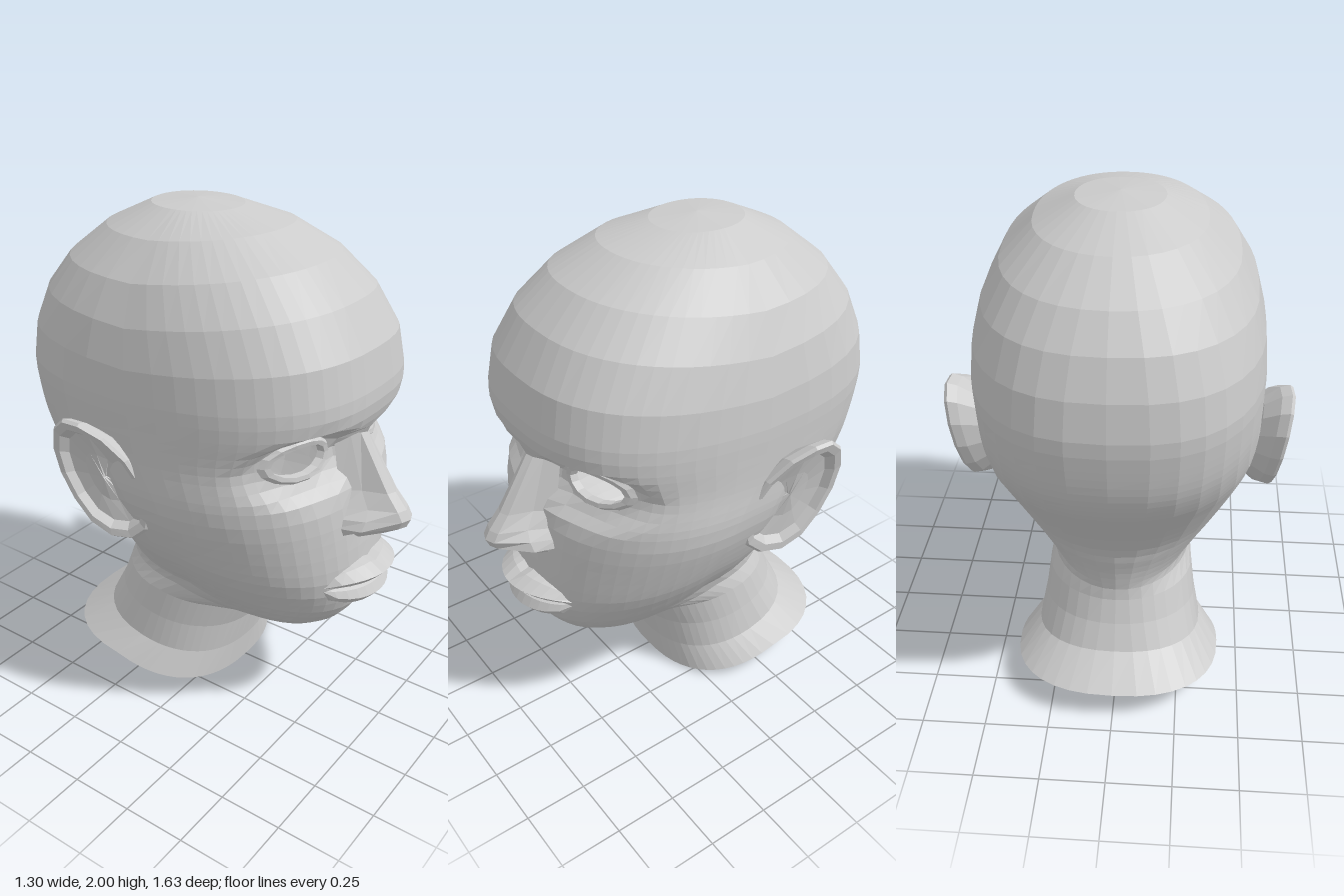
import * as THREE from 'three';

const material = new THREE.MeshStandardMaterial({ color: 0xcccccc, flatShading: true, side: THREE.DoubleSide });
const V = (x, y, z) => new THREE.Vector3(x, y, z);

// Skins a grid of points (rows run top to bottom, columns left to right); skip leaves holes
function skin(name, rows, closed = false, skip = () => false) {
  const pos = [];
  const n = rows[0].length;
  const tri = new THREE.Triangle();
  const add = (a, b, c) => {
    tri.set(a, b, c);
    if (tri.getArea() > 1e-7) for (const p of [a, b, c]) pos.push(p.x, p.y, p.z);
  };
  for (let j = 0; j < rows.length - 1; j++) {
    for (let i = 0; i < (closed ? n : n - 1); i++) {
      const k = (i + 1) % n;
      const a = rows[j][i], b = rows[j][k], c = rows[j + 1][k], d = rows[j + 1][i];
      if (skip(a, b, c, d)) continue;
      add(a, d, b);
      add(b, d, c);
    }
  }
  const geo = new THREE.BufferGeometry();
  geo.setAttribute('position', new THREE.Float32BufferAttribute(pos, 3));
  geo.computeVertexNormals();
  const mesh = new THREE.Mesh(geo, material);
  mesh.name = name;
  return mesh;
}

// Tilted rings from crown to neck: front y, z | half width, side y | back y, z
const RINGS = [
  [2.0, -0.15, 0, 2.0, 2.0, -0.15],
  [1.985, 0.03, 0.16, 1.985, 1.985, -0.33],
  [1.94, 0.23, 0.31, 1.905, 1.9, -0.51],
  [1.85, 0.41, 0.43, 1.78, 1.78, -0.66],
  [1.73, 0.54, 0.5, 1.64, 1.66, -0.745],
  [1.58, 0.63, 0.535, 1.5, 1.52, -0.795],
  [1.44, 0.655, 0.545, 1.38, 1.38, -0.812],
  [1.34, 0.65, 0.545, 1.28, 1.26, -0.8],
  [1.2, 0.6, 0.545, 1.15, 1.12, -0.77],
  [1.05, 0.61, 0.55, 1.02, 1.0, -0.71],
  [0.92, 0.63, 0.53, 0.91, 0.9, -0.64],
  [0.68, 0.65, 0.465, 0.75, 0.72, -0.525],
  [0.56, 0.63, 0.405, 0.65, 0.64, -0.5],
  [0.47, 0.585, 0.355, 0.58, 0.57, -0.48],
  [0.385, 0.49, 0.305, 0.52, 0.51, -0.47],
  [0.375, 0.33, 0.285, 0.47, 0.48, -0.465],
  [0.36, 0.16, 0.295, 0.41, 0.43, -0.47],
  [0.12, 0.09, 0.335, 0.17, 0.23, -0.55],
  [0, 0.08, 0.415, 0.09, 0.13, -0.69],
];
const LAST = RINGS.length - 1;

// Smooth interpolation between rings
function ringAt(t) {
  const k = Math.min(Math.floor(t), LAST - 1), f = t - k;
  const at = (i) => RINGS[THREE.MathUtils.clamp(i, 0, LAST)];
  return RINGS[k].map((p1, c) => {
    const p0 = at(k - 1)[c], p2 = at(k + 1)[c], p3 = at(k + 2)[c];
    return p1 + 0.5 * f * (p2 - p0 + f * (2 * p0 - 5 * p1 + 4 * p2 - p3 + f * (3 * (p1 - p2) + p3 - p0)));
  });
}

// Rows between one ring and the next: finer over the face
function rowsAfter(k) {
  if (k === 7 || k === 8 || k === 10) return 4;
  return k === 16 || (k >= 6 && k <= 13) ? 2 : 1;
}

// Eye socket: an ellipse in front view, lying on a curved sheet
const EYE = { x: 0.26, y: 1.2, w: 0.145, h: 0.085 };
const eyeSheet = (x) => 0.515 - 1.9 * Math.max(0, Math.abs(x) - 0.16) ** 2;

// Pulls face points back into the sockets, sharply under the brow and softly over the cheek
function carveEye(p) {
  if (p.z < 0.2) return p;
  const side = p.x < 0 ? -1 : 1;
  const dx = p.x * side - EYE.x, dy = p.y - EYE.y;
  const d = Math.hypot(dx / EYE.w, dy / EYE.h);
  if (d < 1) {
    const s = 1 / Math.max(d, 1e-4);
    p.x = side * (EYE.x + dx * s);
    p.y = EYE.y + dy * s;
    p.inSocket = true;
  }
  const pull = 1 - THREE.MathUtils.smoothstep(d, 0.95, dy > 0 ? 1.7 : 2.1);
  p.z = THREE.MathUtils.lerp(p.z, Math.min(p.z, eyeSheet(p.x)), pull);
  return p;
}

// Each ring is a superellipse whose front and back halves tilt separately
function buildHead() {
  const half = [];
  for (let i = 0; i < 14; i++) half.push((i / 14) * Math.PI / 2);
  for (let i = 0; i < 9; i++) half.push(Math.PI / 2 * (1 + i / 9));
  const angles = [...half, Math.PI, ...half.slice(1).reverse().map((a) => 2 * Math.PI - a)];
  const rows = [];
  for (let k = 0; k <= LAST; k++) {
    const sub = rowsAfter(k);
    for (let s = 0; s < sub; s++) {
      const [yf, zf, w, ys, yb, zb] = ringAt(k + s / sub);
      const zs = (zf + zb) / 2 + 0.1 * Math.exp(-(((ys - 1) / 0.2) ** 2));
      const squareness = 0.6 * Math.exp(-(((ys - 1.35) / 0.45) ** 2)) + 0.5 * Math.exp(-((ys / 0.25) ** 2));
      const power = 2 / (2 + squareness);
      rows.push(angles.map((a) => {
        const sn = Math.sin(a), c = Math.cos(a);
        const u = Math.sign(sn) * Math.abs(sn) ** power, v = Math.abs(c) ** power;
        const [ye, ze] = c > 0 ? [yf, zf] : [yb, zb];
        return carveEye(V(w * u, ys + (ye - ys) * v, zs + (ze - zs) * v));
      }));
    }
  }
  return skin('headAndNeck', rows, true, (...quad) => quad.every((p) => p.inSocket));
}

// Lids: rings from the socket edge over a soft bulge to the almond opening, then turned inward
function buildEyelids() {
  const rings = [[0.152, 0.092, -0.005], [0.132, 0.075, 0.012], [0.112, 0.058, 0.008], [0.108, 0.054, -0.02]];
  return skin('eyelids', rings.map(([w, h, dz]) => Array.from({ length: 14 }, (_, i) => {
    const a = (i / 14) * Math.PI * 2;
    const x = EYE.x - w * Math.cos(a);
    return V(x, EYE.y + h * Math.sin(a), eyeSheet(x) + dz);
  })), true);
}

// Nose rows: y | base x, z | flank x, z | ridge x, z
function buildNose() {
  const rows = [
    [1.25, 0.085, 0.52, 0.05, 0.57, 0.025, 0.6],
    [1.04, 0.11, 0.57, 0.065, 0.64, 0.035, 0.73],
    [0.98, 0.13, 0.59, 0.085, 0.68, 0.04, 0.78],
    [0.945, 0.155, 0.59, 0.115, 0.69, 0.04, 0.8],
    [0.91, 0.165, 0.59, 0.135, 0.685, 0.035, 0.785],
    [0.87, 0.15, 0.6, 0.085, 0.67, 0.025, 0.725],
    [0.84, 0.1, 0.6, 0.06, 0.64, 0.015, 0.67],
  ];
  return skin('nose', rows.map(([y, bx, bz, mx, mz, rx, rz], j) => {
    const flankY = j === 5 ? y + 0.035 : y; // hollow of the nostrils
    return [V(-bx, y, bz), V(-mx, flankY, mz), V(-rx, y, rz), V(0, y, rz + 0.015),
      V(rx, y, rz), V(mx, flankY, mz), V(bx, y, bz)];
  }));
}

// Both lips as one strip: height from the mouth line and forward bulge, tapering to the corners
function buildLips() {
  const section = [[0.085, -0.02], [0.072, 0.03], [0.04, 0.085], [0.012, 0.06], [0, -0.01],
    [-0.022, 0.04], [-0.06, 0.06], [-0.088, 0.035], [-0.105, -0.03]];
  return skin('lips', section.map(([dy, dz], j) => Array.from({ length: 13 }, (_, i) => {
    const u = i / 6 - 1, x = 0.22 * u;
    const taper = 0.12 + 0.88 * Math.sqrt(1 - Math.abs(u) ** 2.6);
    const bow = j < 2 && i === 6 ? -0.012 : 0;
    return V(x, 0.662 + dy * taper + bow, 0.655 - 2.1 * x * x + dz * (0.25 + 0.75 * taper));
  })));
}

// Ear: a leaning oval flaring outward to the back, its front edge sunk into the cheek
function buildEar() {
  // size | outward shift
  const loops = [[0.75, -0.1], [0.95, -0.045], [1, -0.01], [0.96, 0.003], [0.84, -0.003], [0.74, -0.035], [0.4, -0.05], [0, -0.05]];
  return skin('ear', loops.map(([s, dx]) => Array.from({ length: 14 }, (_, i) => {
    const a = (i / 14) * Math.PI * 2;
    const dy = 0.25 * s * Math.sin(a);
    const z = -0.185 - 0.3 * dy + 0.17 * s * Math.cos(a);
    const sunk = 0.02 * Math.max(0, Math.cos(a));
    return V(0.545 + 0.35 * Math.min(-z, 0.2) + 0.13 * dy + dx - sunk, 1.05 + dy, z);
  })), true);
}

export function createModel() {
  const model = new THREE.Group();
  model.name = 'humanHead';
  model.add(buildHead(), buildNose(), buildLips());
  for (const side of [1, -1]) {
    const half = new THREE.Group();
    half.name = side > 0 ? 'leftEyeAndEar' : 'rightEyeAndEar';
    half.add(buildEyelids(), buildEar());
    half.scale.x = side;
    model.add(half);
  }
  return model;
}
